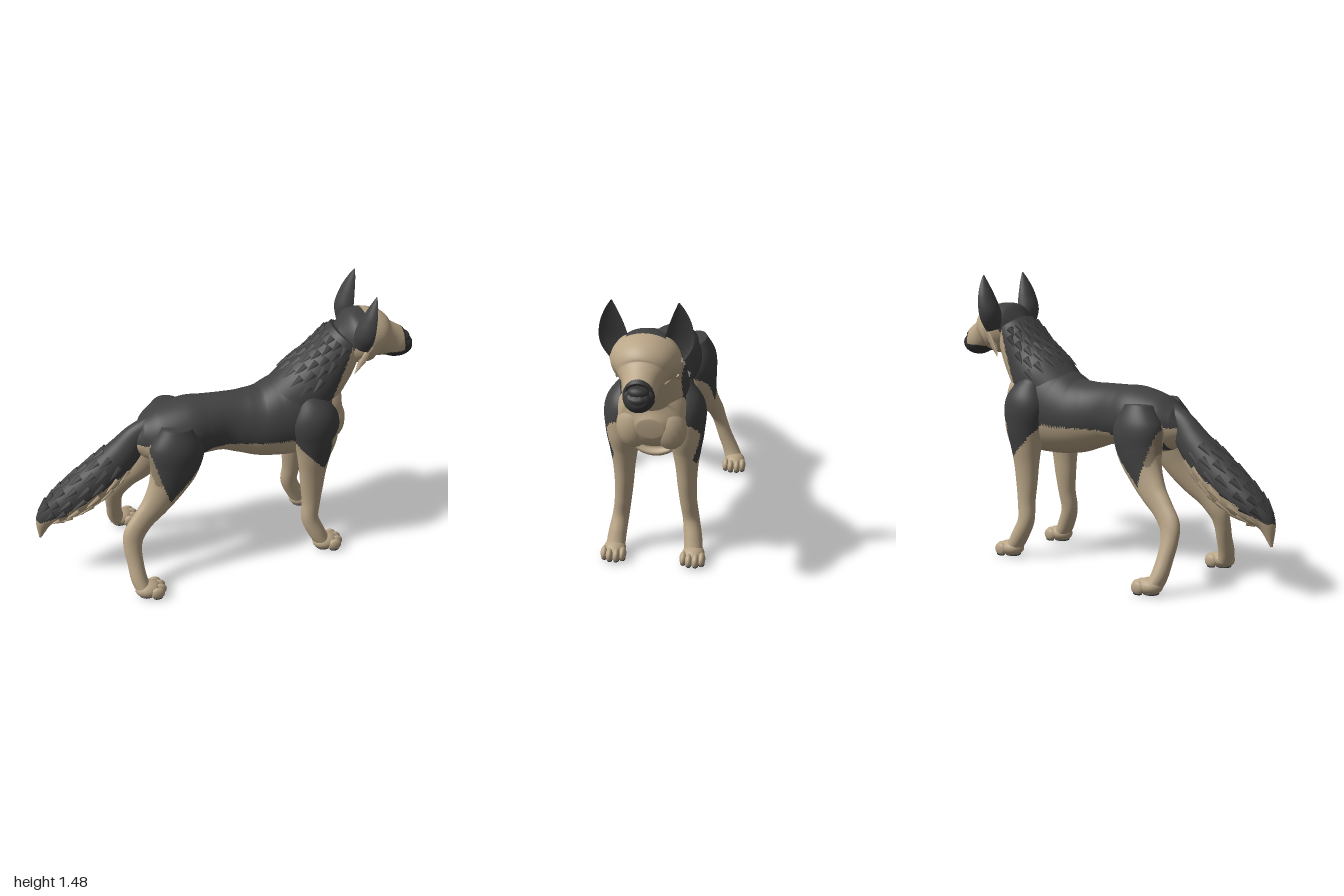
import * as THREE from 'three';

const tan = new THREE.MeshStandardMaterial({ color: 0xb9a587 });
tan.name = 'tanCoat';
const dark = new THREE.MeshStandardMaterial({ color: 0x414141 });
dark.name = 'darkCoat';
const sable = new THREE.MeshStandardMaterial({ color: 0x8f7f69 });
sable.name = 'sableCoat';
const black = new THREE.MeshStandardMaterial({ color: 0x343434 });
black.name = 'noseAndPads';
const MATS = [tan, dark, sable, black];
const TAN = 0, DARK = 1, SABLE = 2, BLACK = 3;
const Z = new THREE.Vector3(0, 0, 1);

// Stations are [x, y, z, radius across the path, radius sideways].
// Returns a sampler giving the skin point at path position t and angle a.
function skin(stations, dent = 1) {
  const path = new THREE.CatmullRomCurve3(
    stations.map(s => new THREE.Vector3(s[0], s[1], s[2])), false, 'catmullrom');
  const size = new THREE.CatmullRomCurve3(
    stations.map(s => new THREE.Vector3(s[3], s[4], 0)), false, 'catmullrom');
  return (t, a, scale = 1) => {
    const dir = path.getTangent(t), r = size.getPoint(t);
    const side = Z.clone().addScaledVector(dir, -dir.z).normalize();
    const up = dir.clone().cross(side);
    const s = Math.sin(a);
    return path.getPoint(t)
      .addScaledVector(side, Math.cos(a) * r.y * scale)
      .addScaledVector(up, s * (s > 0 ? dent : 1) * r.x * scale);
  };
}

// Smooth skin through the stations; rule(x, y, |z|) picks each face's colour
function loft(name, stations, rule, rows = 64, cols = 40, dent = 1) {
  const at = skin(stations, dent), pos = [], faces = MATS.map(() => []);
  for (let i = 0; i <= rows; i++)
    for (let j = 0; j < cols; j++) pos.push(...at(i / rows, j / cols * Math.PI * 2));
  pos.push(...at(0, 0, 0), ...at(1, 0, 0));
  const first = (rows + 1) * cols;
  const tri = (...v) => {
    const c = [0, 1, 2].map(k => v.reduce((sum, q) => sum + pos[q * 3 + k], 0) / 3);
    faces[rule(c[0], c[1], Math.abs(c[2]))].push(...v);
  };
  for (let j = 0; j < cols; j++) {
    const k = (j + 1) % cols, end = rows * cols;
    for (let i = 0; i < rows; i++) {
      const p = i * cols;
      tri(p + j, p + k, p + cols + j);
      tri(p + k, p + cols + k, p + cols + j);
    }
    tri(first, k, j);
    tri(first + 1, end + j, end + k);
  }
  const geo = new THREE.BufferGeometry();
  geo.setAttribute('position', new THREE.Float32BufferAttribute(pos, 3));
  geo.setIndex(faces.flat());
  let start = 0;
  faces.forEach((f, m) => {
    if (f.length) geo.addGroup(start, f.length, m);
    start += f.length;
  });
  geo.computeVertexNormals();
  const mesh = new THREE.Mesh(geo, MATS);
  mesh.name = name;
  return mesh;
}

function ball(name, mat, x, y, z, rx, ry, rz) {
  const mesh = new THREE.Mesh(new THREE.SphereGeometry(1, 20, 14), mat);
  mesh.name = name;
  mesh.position.set(x, y, z);
  mesh.scale.set(rx, ry, rz);
  return mesh;
}

// Flattened lock of fur from p to q
function tuft(name, mat, p, q, r) {
  const d = q.clone().sub(p);
  const mesh = new THREE.Mesh(new THREE.ConeGeometry(r, d.length(), 6), mat);
  mesh.name = name;
  mesh.position.copy(p).addScaledVector(d, 0.5);
  mesh.quaternion.setFromUnitVectors(new THREE.Vector3(0, 1, 0), d.normalize());
  return mesh;
}

function paw(name, x, z) {
  const g = new THREE.Group();
  g.name = name;
  g.add(ball('pawTop', tan, x - 0.015, 0.043, z, 0.068, 0.042, 0.056));
  [-0.046, -0.017, 0.017, 0.046].forEach(o => {
    const fx = x + (Math.abs(o) < 0.03 ? 0.042 : 0.026);
    g.add(ball('toe', tan, fx, 0.036, z + o, 0.038, 0.034, 0.019));
    g.add(ball('toePad', black, fx, 0.008, z + o, 0.025, 0.008, 0.015));
  });
  g.add(ball('heelPad', black, x - 0.022, 0.008, z, 0.042, 0.008, 0.04));
  return g;
}

// Where each coat marking ends
const neckRule = (x, y) => (x < 0.56 + 0.37 * (y - 0.98) ? DARK : TAN);
function torsoRule(x, y) {
  if (x > 0.53 || (x < -0.41 && y < 0.78)) return TAN;
  const belly = THREE.MathUtils.clamp(0.66 + (x + 0.18) * 0.72, 0.66, 0.725);
  return y > belly ? DARK : TAN;
}
function headRule(x, y) {
  if (x > 0.95 || (x > 0.8 && y < 1.092)) return BLACK;
  return x < 0.62 + 0.42 * (y - 1.12) || (y > 1.305 && x < 0.735) ? DARK : TAN;
}
function frontLegRule(x, y, z) {
  const tip = y > 0.54 + Math.abs(x - 0.485) * 1.1;
  return z > 0.135 && tip && (x < 0.515 || y > 0.72 + (x - 0.515) * 1.2) ? DARK : TAN;
}
function hindLegRule(x, y, z) {
  if (z < 0.12 && y < 0.8) return TAN;
  const edge = x > -0.34 ? 0.49 + (x + 0.34) * 1.06 : 0.49 + (-0.34 - x) * 3.4;
  if (y > edge) return DARK;
  return x < -0.36 && y > 0.6 && y > edge - 0.12 ? SABLE : TAN;
}
const tailRule = (x, y) =>
  (y < 0.65 + 0.56 * (x + 0.48) || (x < -0.955 && y < 0.37) ? TAN : DARK);

export function createModel() {
  const dog = new THREE.Group();
  dog.name = 'dog';

  dog.add(loft('torso', [
    [-0.49, 0.80, 0, 0.03, 0.03], [-0.44, 0.785, 0, 0.095, 0.085], [-0.35, 0.78, 0, 0.14, 0.14],
    [-0.2, 0.80, 0, 0.158, 0.16], [-0.1, 0.802, 0, 0.155, 0.143], [0, 0.797, 0, 0.158, 0.13],
    [0.1, 0.78, 0, 0.175, 0.148], [0.2, 0.767, 0, 0.198, 0.172], [0.3, 0.775, 0, 0.225, 0.185],
    [0.4, 0.795, 0, 0.245, 0.19], [0.5, 0.81, 0, 0.21, 0.185], [0.58, 0.79, 0, 0.135, 0.15],
    [0.625, 0.785, 0, 0.05, 0.065]], torsoRule, 130, 72));

  const neck = [
    [0.34, 0.84, 0, 0.17, 0.16], [0.45, 0.94, 0, 0.17, 0.17], [0.54, 1.04, 0, 0.147, 0.15],
    [0.605, 1.135, 0, 0.122, 0.137], [0.655, 1.2, 0, 0.105, 0.125]];
  dog.add(loft('neck', neck, neckRule, 80, 64));

  dog.add(loft('head', [
    [0.59, 1.2, 0, 0.05, 0.06], [0.65, 1.195, 0, 0.125, 0.135], [0.72, 1.192, 0, 0.135, 0.165],
    [0.78, 1.187, 0, 0.127, 0.148], [0.83, 1.16, 0, 0.1, 0.112], [0.88, 1.138, 0, 0.087, 0.085],
    [0.93, 1.113, 0, 0.081, 0.077], [0.965, 1.106, 0, 0.064, 0.068],
    [0.99, 1.122, 0, 0.034, 0.046], [0.997, 1.13, 0, 0.01, 0.015]], headRule, 100, 64));
  dog.add(ball('nose', black, 0.963, 1.14, 0, 0.035, 0.028, 0.05));

  // Tail with ragged fur on its sides
  const tail = [
    [-0.33, 0.88, 0, 0.04, 0.04], [-0.45, 0.795, 0, 0.07, 0.055], [-0.53, 0.705, 0, 0.088, 0.075],
    [-0.63, 0.605, 0, 0.102, 0.09], [-0.75, 0.51, 0, 0.105, 0.093], [-0.87, 0.435, 0, 0.082, 0.08],
    [-0.955, 0.37, 0, 0.05, 0.045], [-0.99, 0.255, 0, 0.006, 0.006]];
  dog.add(loft('tail', tail, tailRule, 90, 48));
  const onTail = skin(tail), onNeck = skin(neck);
  for (let i = 0; i < 8; i++)
    for (let k = 0; k < 8; k++) {
      const a = (k + (i % 2) * 0.5) / 8 * Math.PI * 2, t = 0.34 + i * 0.06;
      const p = onTail(t, a, 0.92), q = onTail(t + 0.085, a, 1.08);
      dog.add(tuft('tailFur', MATS[tailRule(q.x, q.y)], p, q, 0.02));
    }

  // Ruff of fur down the back of the neck
  for (let i = 0; i < 6; i++)
    for (let k = 0; k < 7; k++) {
      const a = Math.PI * (1.1 + (k + (i % 2) * 0.5) * 0.123), t = 0.3 + i * 0.115;
      const p = onNeck(t, a, 0.94), q = onNeck(t - 0.14, a, 1.05);
      if (neckRule(p.x, p.y) === DARK) dog.add(tuft('ruffFur', dark, p, q, 0.022));
    }

  for (const s of [1, -1]) {
    const side = s > 0 ? 'right' : 'left';
    const mirrored = list => list.map(([x, y, z, a, b]) => [x, y, z * s, a, b]);

    // Cupped ears, open to the front
    dog.add(loft(side + 'Ear', mirrored([
      [0.705, 1.2, 0.125, 0.06, 0.05], [0.715, 1.28, 0.15, 0.075, 0.066],
      [0.725, 1.36, 0.158, 0.055, 0.055], [0.735, 1.43, 0.157, 0.03, 0.03],
      [0.74, 1.482, 0.153, 0.004, 0.004]]), () => DARK, 32, 32, -0.3));

    // Eye, brow and cheek fur
    const eye = ball(side + 'Eye', black, 0.822, 1.228, 0.098 * s, 0.046, 0.016, 0.013);
    eye.rotation.set(0, 0.9 * s, -0.08);
    const brow = ball(side + 'Brow', tan, 0.808, 1.257, 0.078 * s, 0.05, 0.018, 0.024);
    brow.rotation.y = 0.9 * s;
    dog.add(eye, brow);
    for (let i = 0; i < 4; i++)
      dog.add(tuft('cheekFur', tan,
        new THREE.Vector3(0.73 - i * 0.012, 1.2 - i * 0.028, (0.15 - i * 0.006) * s),
        new THREE.Vector3(0.66 - i * 0.006, 1.13 - i * 0.026, (0.168 - i * 0.004) * s), 0.02));

    // Chest muscle
    dog.add(ball('chestMuscle', tan, 0.55, 0.77, 0.09 * s, 0.075, 0.12, 0.085));

    dog.add(loft(side + 'FrontLeg', mirrored([
      [0.42, 0.94, 0.11, 0.06, 0.06], [0.44, 0.83, 0.145, 0.125, 0.1],
      [0.45, 0.71, 0.152, 0.118, 0.092], [0.445, 0.6, 0.155, 0.09, 0.072],
      [0.442, 0.5, 0.156, 0.073, 0.056], [0.44, 0.4, 0.158, 0.062, 0.048],
      [0.437, 0.3, 0.165, 0.05, 0.043], [0.43, 0.2, 0.178, 0.046, 0.042],
      [0.465, 0.11, 0.192, 0.045, 0.046], [0.5, 0.045, 0.198, 0.04, 0.048]]), frontLegRule, 90, 48));
    dog.add(paw(side + 'FrontPaw', 0.527, 0.2 * s));

    dog.add(loft(side + 'HindLeg', mirrored([
      [-0.27, 0.88, 0.1, 0.08, 0.07], [-0.28, 0.77, 0.125, 0.14, 0.095],
      [-0.3, 0.66, 0.138, 0.13, 0.085], [-0.345, 0.56, 0.152, 0.1, 0.065],
      [-0.41, 0.47, 0.17, 0.075, 0.05], [-0.48, 0.4, 0.188, 0.06, 0.04],
      [-0.535, 0.33, 0.205, 0.057, 0.038], [-0.55, 0.26, 0.225, 0.047, 0.036],
      [-0.546, 0.18, 0.252, 0.042, 0.038], [-0.538, 0.1, 0.285, 0.042, 0.042],
      [-0.52, 0.045, 0.305, 0.04, 0.048]]), hindLegRule, 90, 48));
    dog.add(paw(side + 'HindPaw', -0.483, 0.312 * s));
  }
  return dog;
}
